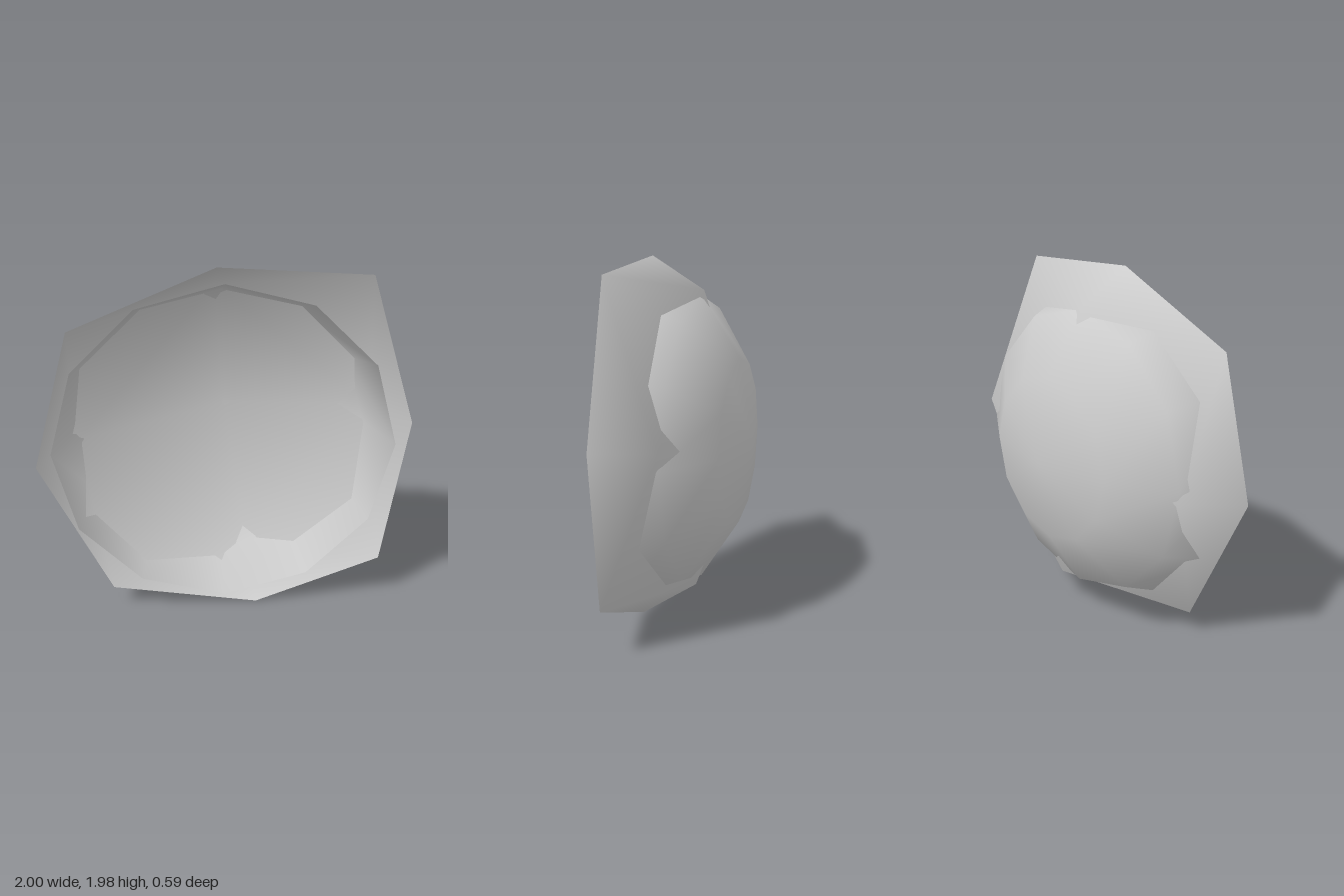
import * as THREE from 'three';

const CENTRE_Y = 0.98;
const material = new THREE.MeshStandardMaterial({ color: 0xcccccc, side: THREE.DoubleSide });

// Smooth open dome: a squashed hemisphere bulging towards the back
function makeDome() {
  const geometry = new THREE.SphereGeometry(0.917, 12, 3, 0, Math.PI * 2, 0, Math.PI / 2);
  geometry.scale(1, 0.592 / 0.917, 1);
  geometry.rotateX(-Math.PI / 2);
  geometry.translate(0, CENTRE_Y, 0.295);
  const mesh = new THREE.Mesh(geometry, material);
  mesh.name = 'dome';
  return mesh;
}

// Irregular half octahedron, subdivided once: apex, four shoulders, eight rim corners
function makeFlaredShell() {
  const apex = [0.04, CENTRE_Y + 0.01, -0.297];
  const rim = [
    [1.0, 1.1], [0.75, 1.925], [-0.04, 1.98], [-0.8, 1.66],
    [-1.0, 0.9], [-0.62, 0.13], [0.18, 0.0], [0.87, 0.26],
  ];
  // Radius and z of the shoulder below every second rim corner
  const shoulders = [[0.833, -0.013], [0.82, -0.008], [0.8, 0], [0.81, -0.01]];

  const positions = [...apex];
  shoulders.forEach(([r, z], i) => {
    const [x, y] = rim[i * 2];
    const angle = Math.atan2(y - CENTRE_Y, x);
    positions.push(r * Math.cos(angle), CENTRE_Y + r * Math.sin(angle), z);
  });
  rim.forEach(([x, y]) => positions.push(x, y, 0.285));

  const index = [];
  for (let i = 0; i < 4; i++) {
    const next = (i + 1) % 4;
    const a = 1 + i, b = 1 + next;
    const cornerA = 5 + i * 2, between = cornerA + 1, cornerB = 5 + next * 2;
    index.push(0, b, a, a, b, between, a, between, cornerA, b, cornerB, between);
  }
  const geometry = new THREE.BufferGeometry();
  geometry.setAttribute('position', new THREE.Float32BufferAttribute(positions, 3));
  geometry.setIndex(index);
  geometry.computeVertexNormals();
  const mesh = new THREE.Mesh(geometry, material);
  mesh.name = 'flaredShell';
  return mesh;
}

export function createModel() {
  const group = new THREE.Group();
  group.name = 'layeredBowl';
  group.add(makeDome(), makeFlaredShell());
  return group;
}
